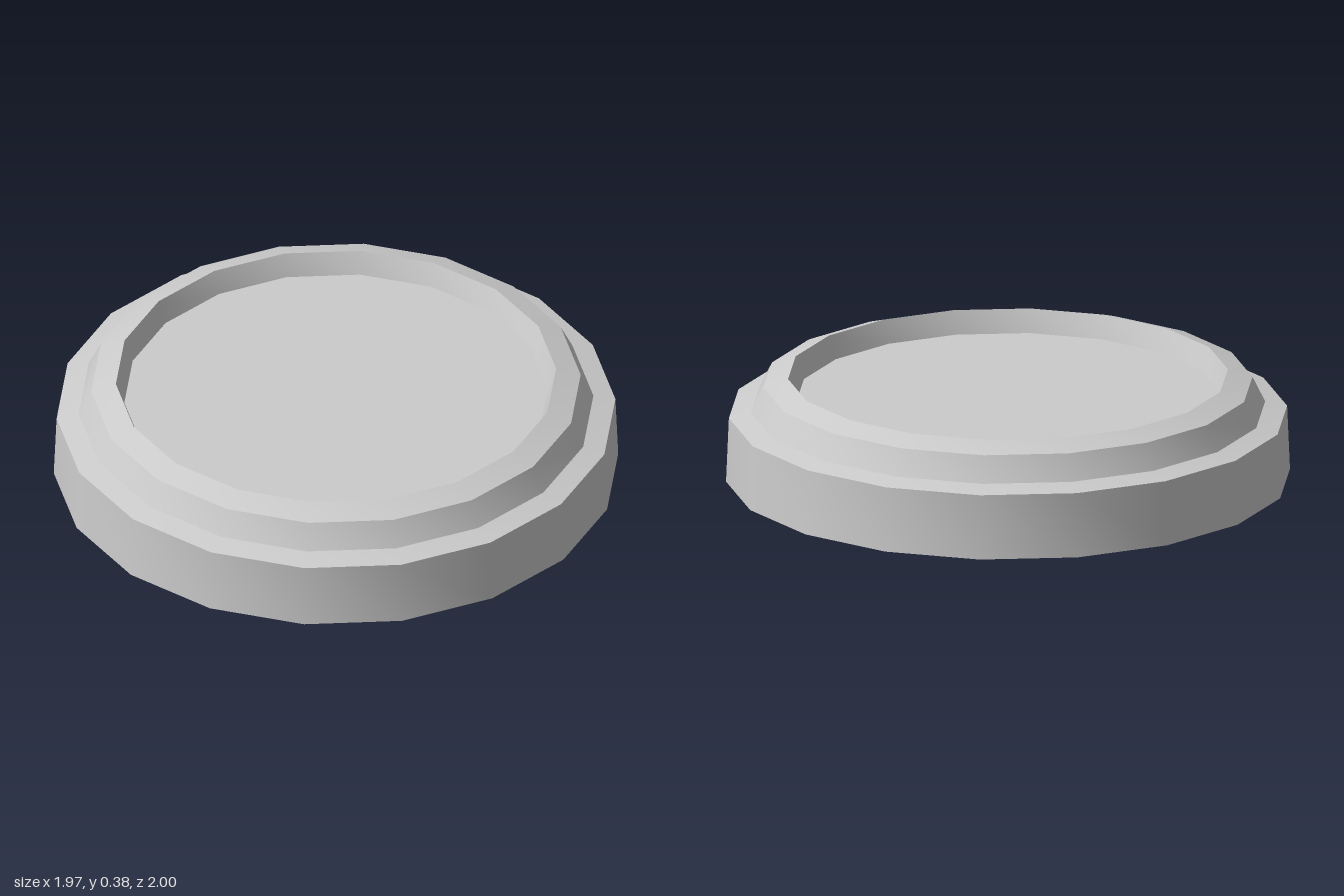
import * as THREE from 'three';
import { toCreasedNormals } from 'three/addons/utils/BufferGeometryUtils.js';

const SIDES = 18;

export function createModel() {
  const group = new THREE.Group();
  group.name = 'jarLid';
  const material = new THREE.MeshStandardMaterial({ color: 0xcccccc, side: THREE.DoubleSide });

  // Thin shell, open below: skirt, shoulder, sloped collar, bevelled rim, recess wall
  const profile = [
    [1, 0], [0.99, 0.235], [0.912, 0.253], [0.867, 0.345], [0.78, 0.375], [0.75, 0.293],
  ].map(([r, y]) => new THREE.Vector2(r, y));
  const shell = new THREE.Mesh(
    toCreasedNormals(new THREE.LatheGeometry(profile, SIDES), Math.PI / 6), material);
  shell.name = 'lidShell';
  group.add(shell);

  // Flat panel closing the recess
  const disc = new THREE.CircleGeometry(0.75, SIDES, Math.PI / 2);
  disc.rotateX(-Math.PI / 2);
  disc.translate(0, 0.293, 0);
  const panel = new THREE.Mesh(disc, material);
  panel.name = 'recessedPanel';
  group.add(panel);

  return group;
}
